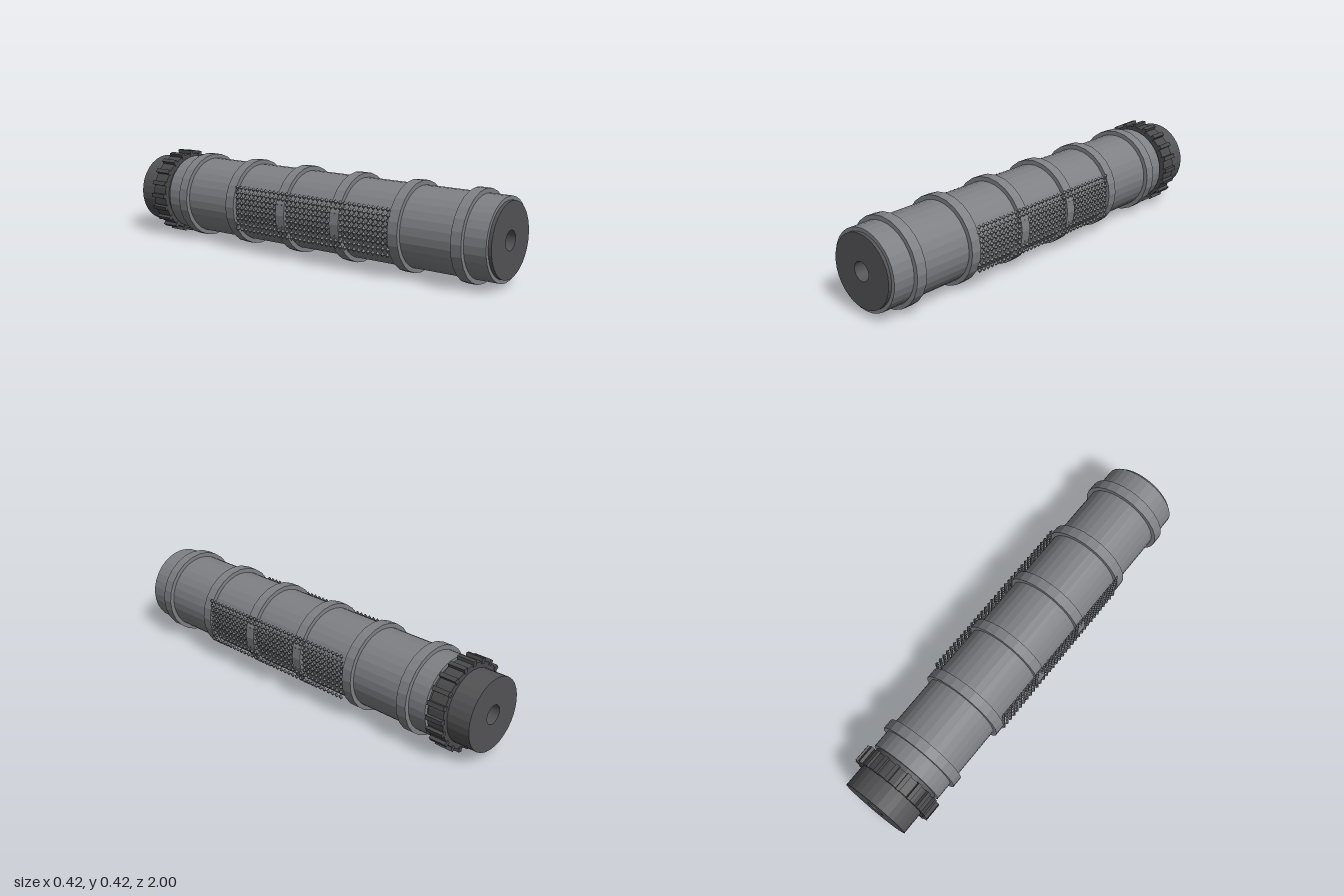
import * as THREE from 'three';
import { mergeGeometries } from 'three/addons/utils/BufferGeometryUtils.js';

const AXIS_Y = 0.209;

export function createModel() {
  const flat = (name, color) => {
    const m = new THREE.MeshStandardMaterial({ color, flatShading: true });
    m.name = name;
    return m;
  };
  const grey = flat('midGrey', 0x7e8084);
  const dark = flat('darkGrey', 0x535355);
  const darker = flat('collarGrey', 0x4a4a4c);
  const gripGrey = flat('gripGrey', 0x6a6b70);

  const model = new THREE.Group();
  model.name = 'ringedTube';
  const body = new THREE.Group();
  body.name = 'body';
  body.position.y = AXIS_Y;
  model.add(body);

  const add = (name, geometry, material) => {
    const mesh = new THREE.Mesh(geometry, material);
    mesh.name = name;
    body.add(mesh);
    return mesh;
  };

  // Hollow cylinder along z between two radii
  const sleeve = (inner, outer, z0, z1, sides) => {
    const pts = [[inner, z0], [outer, z0], [outer, z1], [inner, z1], [inner, z0]];
    const g = new THREE.LatheGeometry(pts.map(([r, z]) => new THREE.Vector2(r, z)), sides);
    return g.rotateX(Math.PI / 2);
  };

  // Dark core with a bore through both ends, and the outer tube around it
  add('core', sleeve(0.044, 0.168, -1, 1, 32), dark);
  add('outerTube', sleeve(0.16, 0.185, -0.79, 0.985, 32), grey);

  // Six evenly spaced bands
  for (let i = 0; i < 6; i++) {
    const z = 0.857 - i * 0.307;
    add('band' + (i + 1), sleeve(0.175, 0.206, z - 0.025, z + 0.025, 24), grey);
  }

  // Rear collar with twenty grip teeth
  add('collar', sleeve(0.16, 0.194, -0.89, -0.812, 32), darker);
  const teeth = [];
  for (let i = 0; i < 20; i++) {
    const tooth = new THREE.BoxGeometry(0.02, 0.025, 0.084);
    tooth.translate(0, 0.196, -0.851).rotateZ((i * Math.PI) / 10);
    teeth.push(tooth);
  }
  add('collarTeeth', mergeGeometries(teeth), darker);

  // Flat grid of small pyramids on each side
  const pitch = 0.025;
  for (const side of [1, -1]) {
    const studs = [];
    for (let row = 0; row < 9; row++) {
      for (let col = 0; col < 35; col++) {
        const stud = new THREE.ConeGeometry(pitch / 2, 0.01, 4);
        stud.rotateZ(-side * Math.PI / 2);
        stud.translate(side * 0.197, (row - 4) * pitch, 0.095 + (col - 17) * pitch);
        studs.push(stud);
      }
    }
    add(side > 0 ? 'leftGripStuds' : 'rightGripStuds', mergeGeometries(studs), gripGrey);
  }

  return model;
}
